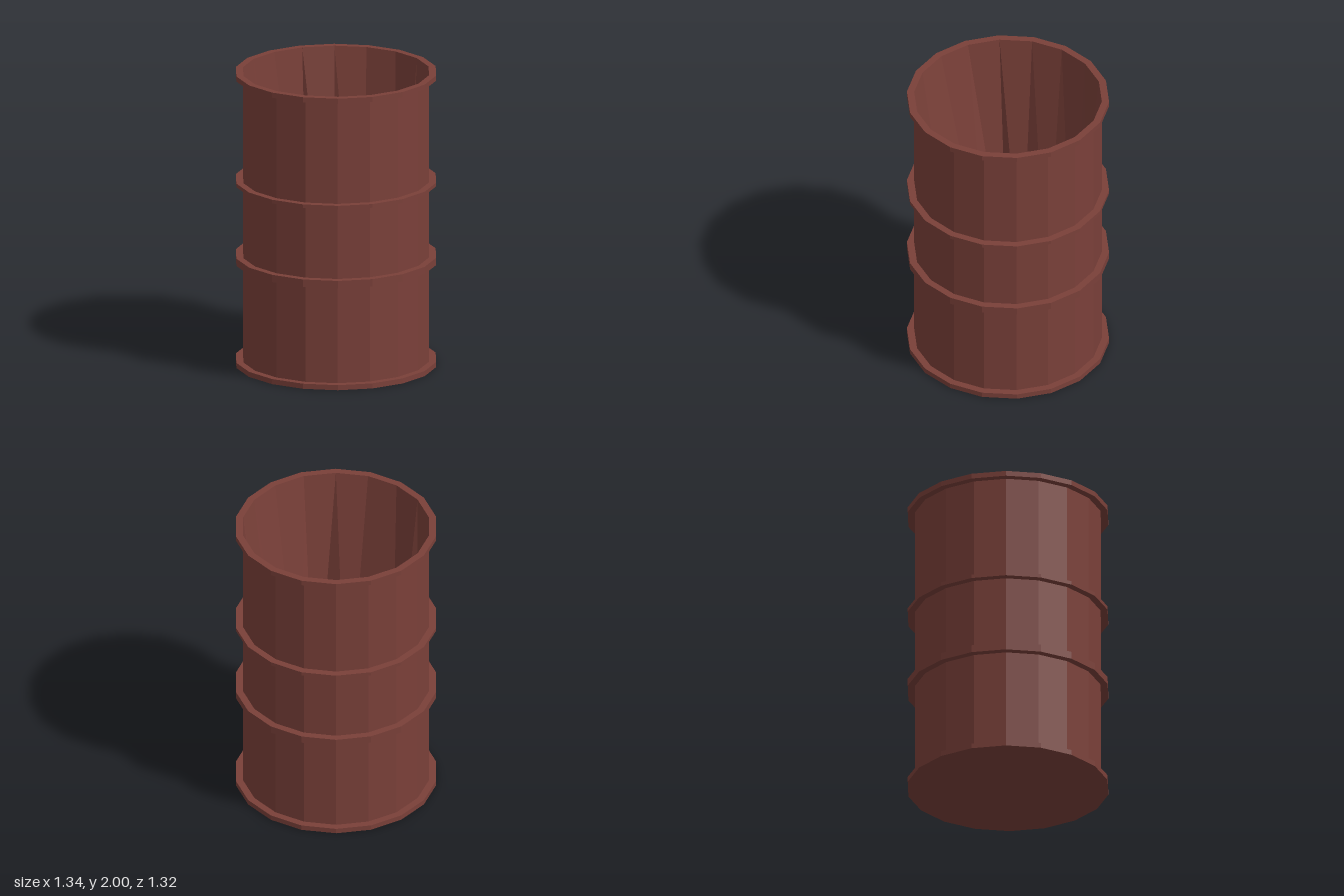
import * as THREE from 'three';

const SIDES = 18;
const BODY_R = 0.622;
const HOOP_R = 0.67;
const FLOOR_Y = 0.05;

export function createModel() {
  const barrel = new THREE.Group();
  barrel.name = 'barrel';
  const rust = new THREE.MeshStandardMaterial({ color: 0x7a4039 });
  rust.name = 'rust red metal';
  rust.flatShading = true;

  const add = (name, geometry) => {
    const faceted = geometry.index ? geometry.toNonIndexed() : geometry;
    faceted.computeVertexNormals();
    const mesh = new THREE.Mesh(faceted, rust);
    mesh.name = name;
    barrel.add(mesh);
  };
  // Faceted ring of a profile, with a corner on the +x axis
  const turn = (profile) => new THREE.LatheGeometry(
    profile.map(([r, y]) => new THREE.Vector2(r, y)), SIDES, Math.PI / 2);

  // Outer shell
  add('outerWall', turn([[BODY_R, 0], [BODY_R, 2]]));

  // Four raised hoops
  const hoops = { bottomHoop: [0, 0.035], lowerHoop: [0.7, 0.75], upperHoop: [1.24, 1.265], topRim: [1.965, 2] };
  for (const [name, [y0, y1]] of Object.entries(hoops)) {
    add(name, turn([[BODY_R, y0], [HOOP_R, y0], [HOOP_R, y1], [BODY_R, y1]]));
  }

  // Closed underside
  add('underside', new THREE.CircleGeometry(BODY_R, SIDES).rotateX(Math.PI / 2));

  // Inner floor outline [x, z], one point per rim corner, starting at +x towards +z
  const floor = [
    [0.36, -0.07], [0.36, 0.05], [0.36, 0.18], [0.34, 0.315], [0.1, 0.315], [-0.05, 0.315],
    [-0.24, 0.315], [-0.445, 0.315], [-0.445, 0.2], [-0.445, 0], [-0.445, -0.21], [-0.395, -0.345],
    [-0.2, -0.345], [0, -0.345], [0.15, -0.345], [0.27, -0.345], [0.36, -0.345], [0.36, -0.2],
  ];

  // Inner wall lofted from the round rim to the boxy floor, and the floor itself
  const wall = [];
  const base = [];
  for (let i = 0; i < SIDES; i++) {
    const j = (i + 1) % SIDES;
    const rim = (k) => {
      const a = (k / SIDES) * Math.PI * 2;
      return [BODY_R * Math.cos(a), 2, BODY_R * Math.sin(a)];
    };
    const low = (k) => [floor[k][0], FLOOR_Y, floor[k][1]];
    wall.push(...low(i), ...low(j), ...rim(i), ...rim(i), ...low(j), ...rim(j));
    base.push(-0.04, FLOOR_Y, -0.015, ...low(j), ...low(i));
  }
  const fromTriangles = (points) => new THREE.BufferGeometry()
    .setAttribute('position', new THREE.Float32BufferAttribute(points, 3));
  add('innerWall', fromTriangles(wall));
  add('innerFloor', fromTriangles(base));

  return barrel;
}
